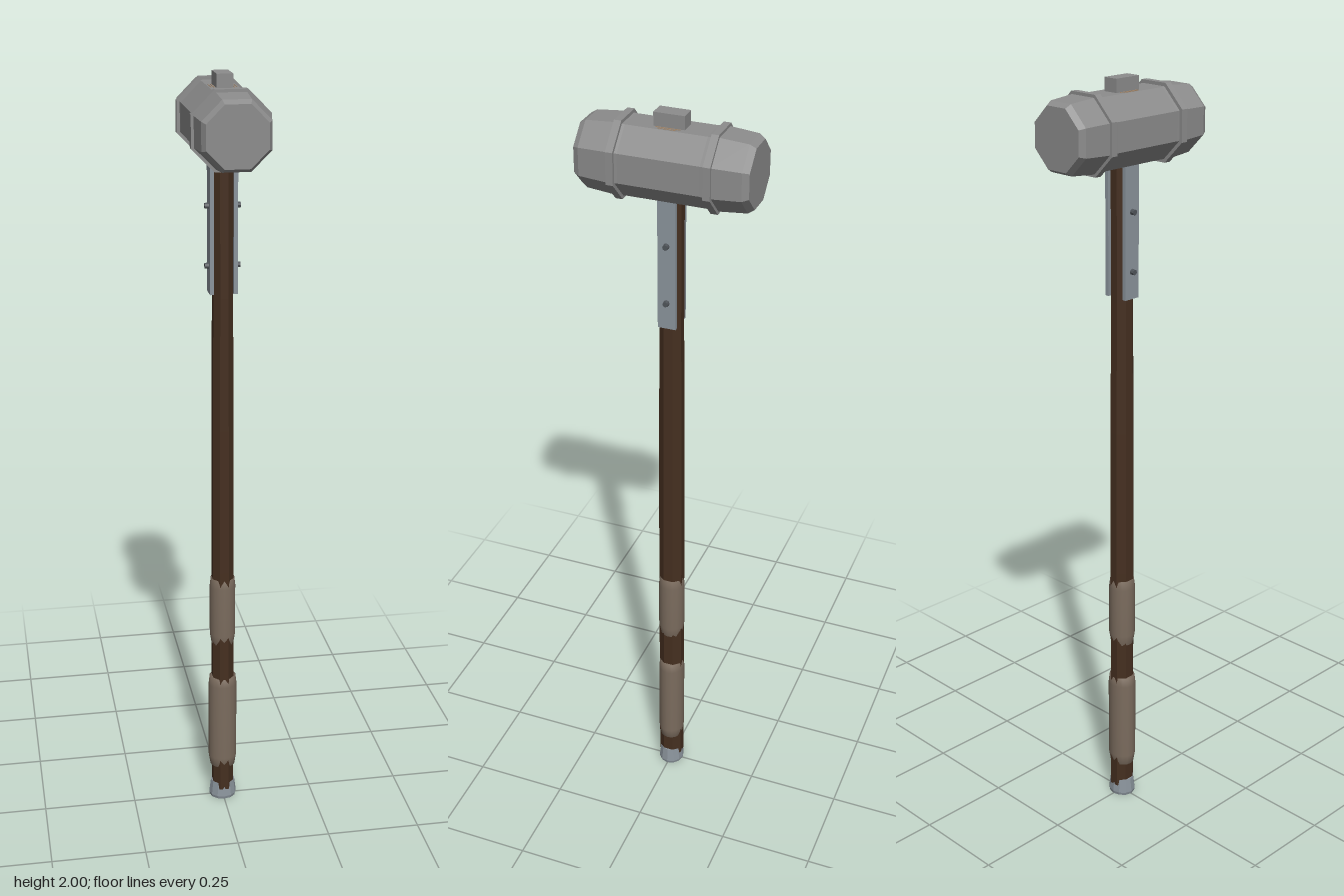
import * as THREE from 'three';

export function createModel() {
  const model = new THREE.Group();
  const paint = (name, color, flatShading = true) => {
    const m = new THREE.MeshStandardMaterial({ color, flatShading });
    m.name = name;
    return m;
  };
  const steel = paint('steel', 0x8c8c8c);
  const plateSteel = paint('blueSteel', 0x8b949c);
  const wood = paint('darkWood', 0x452f20);
  const leather = paint('leather', 0x7b6c5e, false);
  const rivetIron = paint('rivetIron', 0x50555a);
  const wedgeWood = paint('wedgeWood', 0xa08468);

  const add = (name, geometry, material, x = 0, y = 0, z = 0) => {
    const mesh = new THREE.Mesh(geometry, material);
    mesh.name = name;
    mesh.position.set(x, y, z);
    model.add(mesh);
    return mesh;
  };
  // Eight-sided lathe with flat sides on the axes; radii are apothems
  const octagon = (profile) => new THREE.LatheGeometry(
    profile.map(([r, y]) => new THREE.Vector2(r / Math.cos(Math.PI / 8), y)), 8, Math.PI / 8);

  // Hammer head, lying along z, with tapered striking ends
  const headY = 1.88;
  add('head', octagon([[0, -0.213], [0.074, -0.213], [0.083, -0.198], [0.089, -0.125], [0.087, -0.1],
    [0.087, 0.1], [0.089, 0.125], [0.083, 0.198], [0.074, 0.213], [0, 0.213]]), steel, 0, headY)
    .rotation.x = Math.PI / 2;
  for (const z of [-0.119, 0.116]) {
    add('headBand', octagon([[0.08, -0.009], [0.096, -0.009], [0.096, 0.009], [0.08, 0.009]]), steel, 0, headY, z)
      .rotation.x = Math.PI / 2;
  }

  // Tenon through the top of the head, with slivers of wood beside it
  add('tenon', new THREE.BoxGeometry(0.04, 0.05, 0.076), steel, 0, 1.975, -0.001);
  for (const side of [-1, 1]) {
    add('woodSliver', new THREE.BoxGeometry(0.003, 0.004, 0.06), wedgeWood, side * 0.024, 1.966);
    add('woodSliver', new THREE.BoxGeometry(0.002, 0.004, 0.045), wedgeWood, side * 0.031, 1.966);
  }

  // Handle, slightly deeper than wide
  add('handle', octagon([[0.028, 0.03], [0.028, 0.7], [0.027, 1.1], [0.025, 1.45], [0.025, 1.82]]), wood)
    .scale.z = 1.14;

  // Side straps with rivets
  for (const side of [-1, 1]) {
    add('strap', new THREE.BoxGeometry(0.01, 0.35, 0.046), plateSteel, side * 0.03, 1.635);
    for (const y of [1.53, 1.68]) {
      add('rivet', new THREE.CylinderGeometry(0.007, 0.008, 0.012, 8), rivetIron, side * 0.039, y)
        .rotation.z = -side * Math.PI / 2;
    }
  }

  // Leather grips
  const grip = (name, bottom, top, r, depth) => {
    const points = [[0.027, bottom], [r - 0.005, bottom], [r, bottom + 0.03], [r, top - 0.025],
      [r - 0.003, top], [0.027, top]].map(([x, y]) => new THREE.Vector2(x, y));
    add(name, new THREE.LatheGeometry(points, 16), leather).scale.z = depth;
  };
  grip('upperGrip', 0.48, 0.675, 0.035, 1);
  grip('lowerGrip', 0.1, 0.378, 0.039, 0.9);

  // Pommel cap
  add('pommel', new THREE.LatheGeometry([[0, 0], [0.036, 0], [0.038, 0.008], [0.033, 0.048], [0, 0.048]]
    .map(([x, y]) => new THREE.Vector2(x, y)), 12), plateSteel).scale.z = 0.93;

  return model;
}
